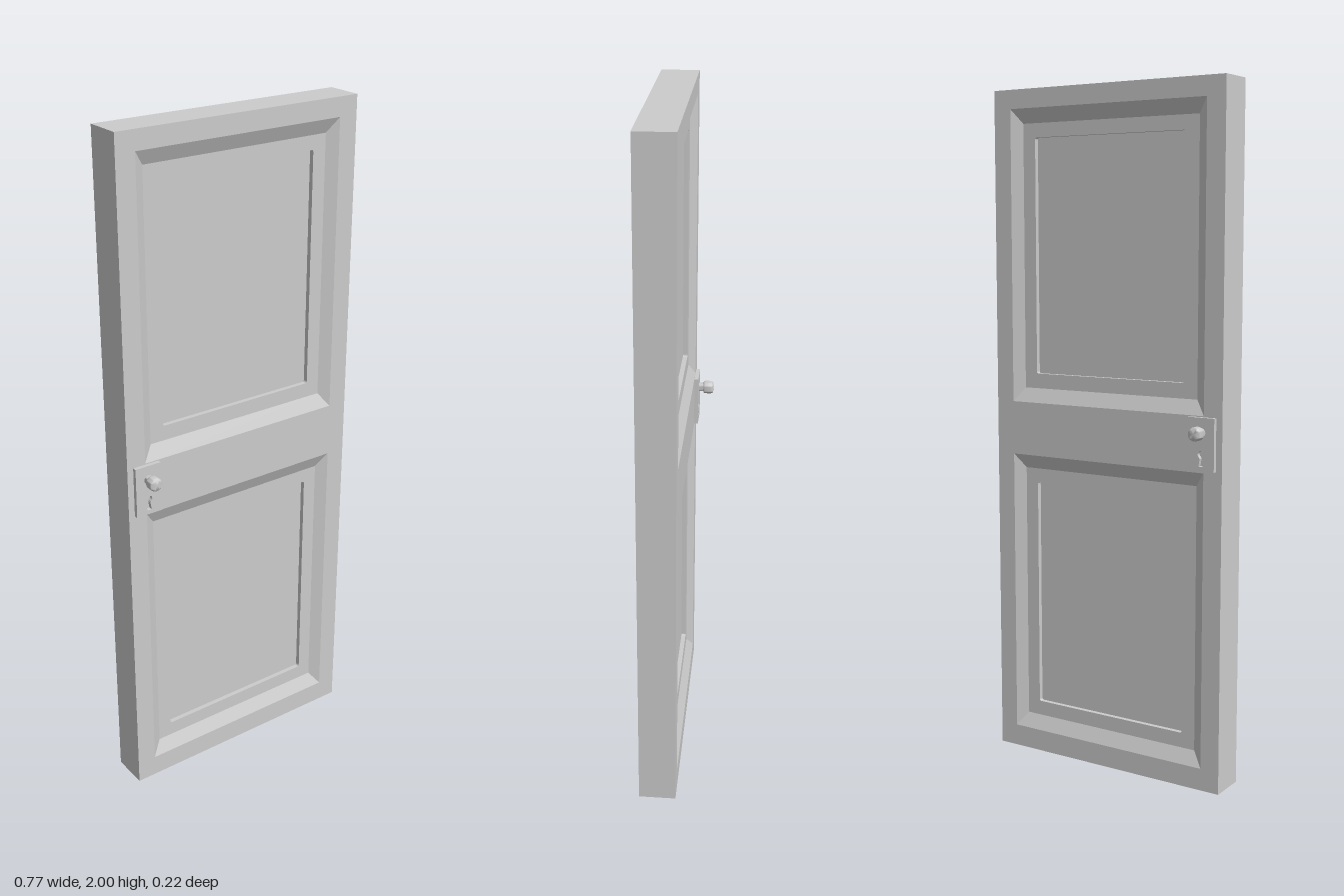
import * as THREE from 'three';
import { toCreasedNormals } from 'three/addons/utils/BufferGeometryUtils.js';

const HALF_W = 0.385, HEIGHT = 2, HALF_T = 0.055;
const material = new THREE.MeshStandardMaterial({ color: 0xcccccc });

function part(name, geometry, parent) {
  const mesh = new THREE.Mesh(geometry, material);
  mesh.name = name;
  parent.add(mesh);
  return mesh;
}

// Counter-clockwise rectangle with rounded corners (r may be 0)
function rectLoop(hw, y0, y1, z, r = 0, steps = 4) {
  const corners = [[hw - r, y0 + r, -0.5], [hw - r, y1 - r, 0], [r - hw, y1 - r, 0.5], [r - hw, y0 + r, 1]];
  const points = [];
  for (const [cx, cy, start] of corners) {
    for (let i = 0; i <= steps; i++) {
      const a = (start + 0.5 * i / steps) * Math.PI;
      points.push(new THREE.Vector3(cx + r * Math.cos(a), cy + r * Math.sin(a), z));
    }
  }
  return points;
}

// Flat-faced skin through successive loops, optionally closed at the last one
function loft(loops, cap) {
  const positions = [];
  const tri = (a, b, c) => {
    if (new THREE.Triangle(a, b, c).getArea() > 1e-9) for (const p of [a, b, c]) positions.push(p.x, p.y, p.z);
  };
  for (let k = 0; k + 1 < loops.length; k++) {
    const o = loops[k], n = loops[k + 1];
    for (let j = 0; j < o.length; j++) {
      const m = (j + 1) % o.length;
      tri(o[j], o[m], n[m]);
      tri(o[j], n[m], n[j]);
    }
  }
  if (cap) {
    const last = loops[loops.length - 1];
    for (let j = 1; j + 1 < last.length; j++) tri(last[0], last[j], last[j + 1]);
  }
  const geometry = new THREE.BufferGeometry();
  geometry.setAttribute('position', new THREE.Float32BufferAttribute(positions, 3));
  geometry.computeVertexNormals();
  return geometry;
}

function rectPath(Type, hw, y0, y1) {
  return new Type([[-hw, y0], [hw, y0], [hw, y1], [-hw, y1]].map(([x, y]) => new THREE.Vector2(x, y)));
}

// One face of the door: flat frame and two sunken panels
function doorFace() {
  const face = new THREE.Group();
  const frame = rectPath(THREE.Shape, HALF_W, 0, HEIGHT);
  for (const [name, y0] of [['lowerPanel', 0.065], ['upperPanel', 1.085]]) {
    const y1 = y0 + 0.86;
    frame.holes.push(rectPath(THREE.Path, 0.327, y0, y1));
    part(name, loft([
      rectLoop(0.327, y0, y1, HALF_T),
      rectLoop(0.295, y0 + 0.042, y1 - 0.042, HALF_T - 0.02),
      rectLoop(0.253, y0 + 0.086, y1 - 0.083, HALF_T - 0.02, 0.006),
      rectLoop(0.253, y0 + 0.086, y1 - 0.083, HALF_T - 0.034, 0.006),
    ], true), face);
  }
  part('frameFace', new THREE.ShapeGeometry(frame).translate(0, 0, HALF_T), face);
  return face;
}

// Plate with a keyhole and a turned knob, resting on z = 0
function lockSet() {
  const lock = new THREE.Group();
  const plate = rectPath(THREE.Shape, 0.041, 0.932, 1.082);
  const keyhole = new THREE.Path();
  keyhole.absarc(0, 0.979, 0.01, -0.3 * Math.PI, 1.3 * Math.PI, false);
  keyhole.lineTo(-0.004, 0.966);
  keyhole.lineTo(-0.007, 0.945);
  keyhole.lineTo(0.007, 0.945);
  keyhole.lineTo(0.004, 0.966);
  keyhole.closePath();
  plate.holes.push(keyhole);
  part('lockPlate', new THREE.ExtrudeGeometry(plate, { depth: 0.012, bevelEnabled: false, curveSegments: 12 }), lock);

  const profile = [
    [0.0135, 0], [0.0135, 0.026], [0.016, 0.026], [0.0185, 0.0275], [0.0197, 0.031],
    [0.0197, 0.049], [0.0185, 0.053], [0.016, 0.0555], [0.012, 0.0565], [0, 0.0565],
  ].map(([r, h]) => new THREE.Vector2(r, h));
  const knob = part('knob', toCreasedNormals(new THREE.LatheGeometry(profile, 32), 0.8), lock);
  knob.rotation.x = Math.PI / 2;
  knob.position.y = 1.04;
  return lock;
}

export function createModel() {
  const door = new THREE.Group();
  door.name = 'door';

  // Outer edges of the slab
  part('slabEdges', loft([rectLoop(HALF_W, 0, HEIGHT, -HALF_T), rectLoop(HALF_W, 0, HEIGHT, HALF_T)]), door);

  // Matching front and back
  for (const [side, dir] of [['front', 1], ['back', -1]]) {
    const turn = dir > 0 ? 0 : Math.PI;
    const face = doorFace();
    face.name = side + 'Face';
    face.rotation.y = turn;
    const lock = lockSet();
    lock.name = side + 'Lock';
    lock.rotation.y = turn;
    lock.position.set(-0.325, 0, dir * HALF_T);
    door.add(face, lock);
  }
  return door;
}
